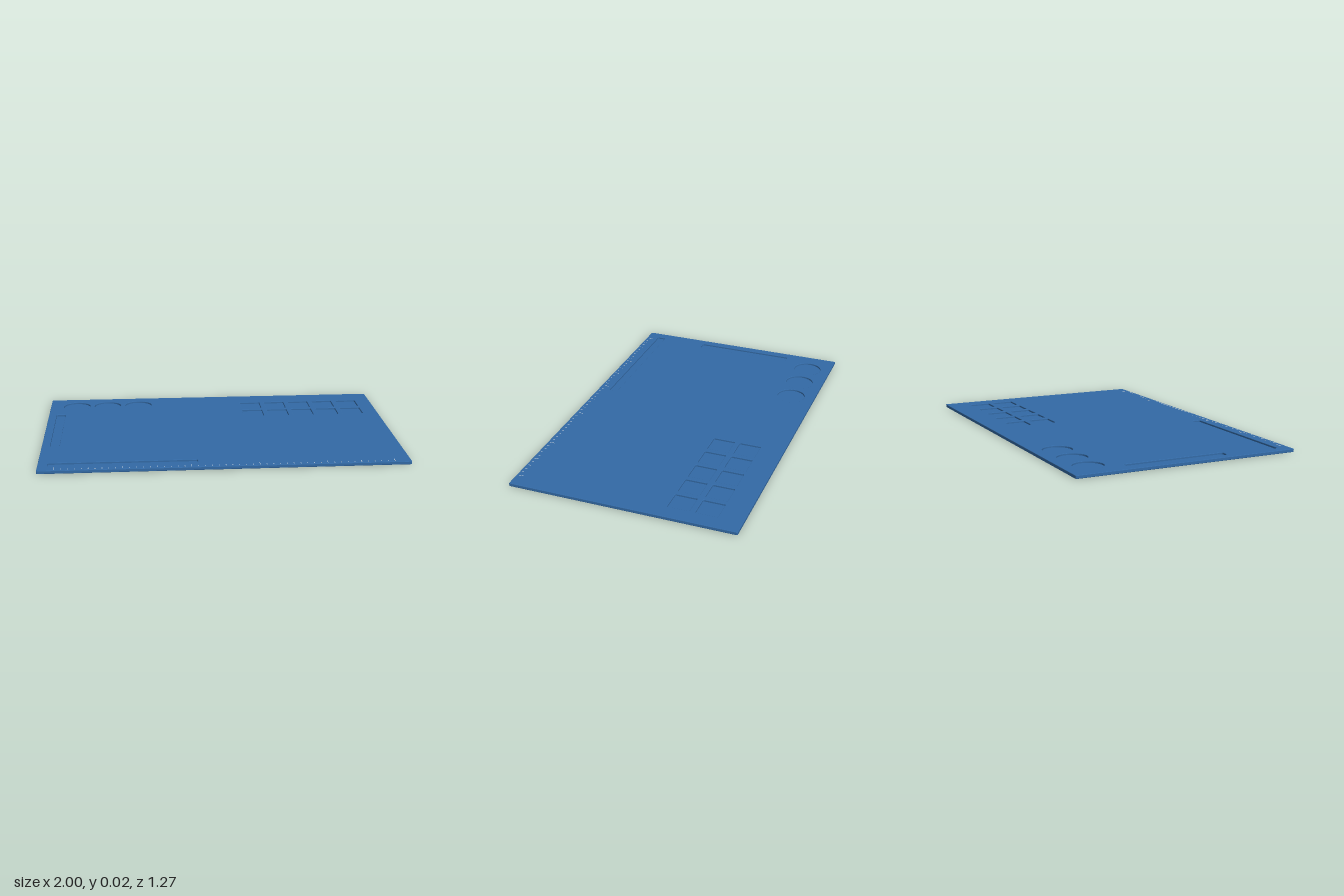
import * as THREE from 'three';

const HEIGHT = 0.018, FLOOR = 0.008, BEVEL = 0.0025;

// Rounded rectangle outline centred on (x, z) in plan
function roundRect(path, x, z, w, d, r) {
  const x0 = x - w / 2, x1 = x + w / 2, y0 = -z - d / 2, y1 = -z + d / 2;
  path.moveTo(x0 + r, y0);
  path.lineTo(x1 - r, y0).absarc(x1 - r, y0 + r, r, -Math.PI / 2, 0, false);
  path.lineTo(x1, y1 - r).absarc(x1 - r, y1 - r, r, 0, Math.PI / 2, false);
  path.lineTo(x0 + r, y1).absarc(x0 + r, y1 - r, r, Math.PI / 2, Math.PI, false);
  path.lineTo(x0, y0 + r).absarc(x0 + r, y0 + r, r, Math.PI, Math.PI * 1.5, false);
  return path;
}

function circle(path, x, z, r) {
  path.absarc(x, -z, r, 0, Math.PI * 2, false);
  return path;
}

export function createModel() {
  const model = new THREE.Group();
  model.name = 'workMat';
  const blue = new THREE.MeshStandardMaterial({ color: 0x336aa6 });
  const pale = new THREE.MeshStandardMaterial({ color: 0xc4d0dc });

  // Pockets: each draws its outline into a path, grown by g
  const pockets = [];
  for (let i = 0; i < 3; i++) {
    pockets.push(['roundTray', (p, g) => circle(p, -0.838 + i * 0.19, -0.494, 0.082 + g)]);
  }
  for (let row = 0; row < 2; row++) {
    for (let col = 0; col < 5; col++) {
      pockets.push(['squareTray', (p, g) =>
        roundRect(p, 0.24 + col * 0.152, -0.439 + row * 0.153, 0.122 + 2 * g, 0.122 + 2 * g, 0.006)]);
    }
  }
  pockets.push(['sideSlot', (p, g) => roundRect(p, -0.928, -0.04, 0.053 + 2 * g, 0.58 + 2 * g, 0.008)]);
  pockets.push(['frontSlot', (p, g) => roundRect(p, -0.546, 0.543, 0.8 + 2 * g, 0.05 + 2 * g, 0.005)]);

  // Mat with soft edges and pocket openings
  const outline = roundRect(new THREE.Shape(), 0, 0, 2, 1.27, 0.006);
  for (const [, draw] of pockets) outline.holes.push(draw(new THREE.Path(), 0));
  const matGeometry = new THREE.ExtrudeGeometry(outline, {
    depth: HEIGHT - 2 * BEVEL, curveSegments: 24,
    bevelThickness: BEVEL, bevelSize: BEVEL, bevelOffset: -BEVEL, bevelSegments: 2,
  });
  matGeometry.rotateX(-Math.PI / 2).translate(0, BEVEL, 0);
  const mat = new THREE.Mesh(matGeometry, blue);
  mat.name = 'mat';
  model.add(mat);

  // Pocket floors close the openings from below
  for (const [name, draw] of pockets) {
    const geometry = new THREE.ExtrudeGeometry(draw(new THREE.Shape(), 0.003),
      { depth: FLOOR, bevelEnabled: false, curveSegments: 24 });
    const floor = new THREE.Mesh(geometry.rotateX(-Math.PI / 2), blue);
    floor.name = name + 'Floor';
    model.add(floor);
  }

  // Ruler marks along the front edge
  const ruler = new THREE.Group();
  ruler.name = 'ruler';
  for (let i = 0; i <= 50; i++) {
    const length = i % 10 === 0 ? 0.032 : i % 5 === 0 ? 0.022 : 0.014;
    const mark = new THREE.Mesh(new THREE.BoxGeometry(0.003, 0.001, length), pale);
    mark.name = 'rulerMark';
    mark.position.set(-0.911 + i * 0.03644, HEIGHT + 0.0002, 0.623 - length / 2);
    ruler.add(mark);
  }
  model.add(ruler);
  return model;
}
